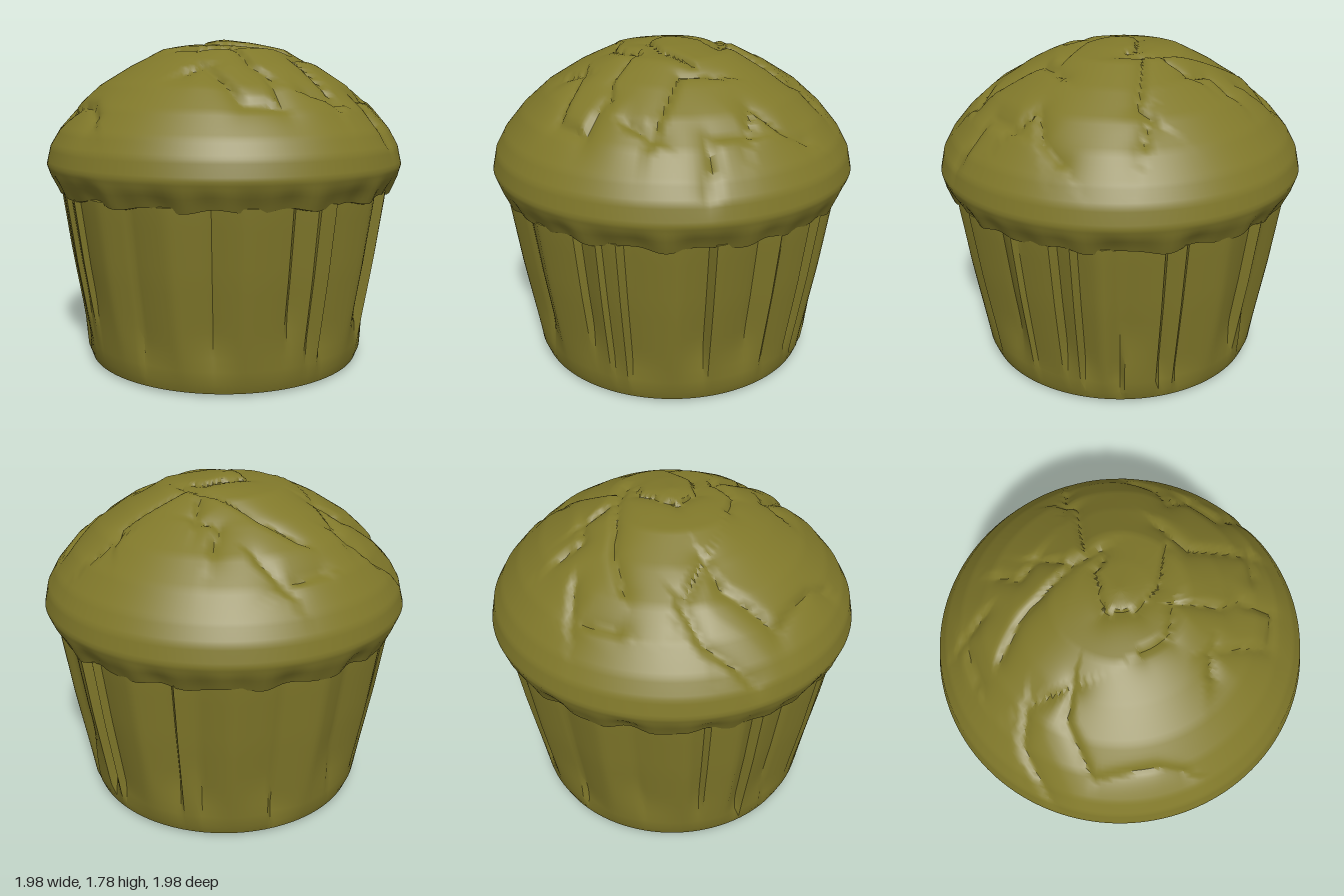
import * as THREE from 'three';
import { mergeVertices, toCreasedNormals } from 'three/addons/utils/BufferGeometryUtils.js';

const V2 = (a) => a.map(([x, y]) => new THREE.Vector2(x, y));

function seeded(seed) {
  return () => {
    seed = (seed * 16807) % 2147483647;
    return seed / 2147483647;
  };
}

// Splits each stretch of a profile into steps no longer than `step`
function refine(points, step) {
  const out = [points[0]];
  for (let i = 1; i < points.length; i++) {
    const n = Math.ceil(points[i].distanceTo(points[i - 1]) / step);
    for (let k = 1; k <= n; k++) out.push(points[i - 1].clone().lerp(points[i], k / n));
  }
  return out;
}

// Lathe whose surface is pushed inwards by depth(x, y, z)
function sculptedLathe(points, segments, depth, crease) {
  let geo = new THREE.LatheGeometry(points, segments);
  const p = geo.attributes.position;
  for (let i = 0; i < p.count; i++) {
    const x = p.getX(i), y = p.getY(i), z = p.getZ(i);
    const d = depth(x, y, z);
    const r = Math.hypot(x, z);
    const k = r > 0.1 ? 1 - d.radial / r : 1;
    p.setXYZ(i, x * k, y - d.down, z * k);
  }
  geo.deleteAttribute('normal');
  geo.deleteAttribute('uv');
  geo = mergeVertices(geo, 1e-4);
  return toCreasedNormals(geo, crease);
}

// Cracks in the crust, as paths seen from above [x, z]
const cracks = [
  [[-0.82, -0.53], [-0.56, -0.61], [-0.4, -0.55], [-0.38, -0.3], [-0.52, -0.37], [-0.79, -0.3], [-0.8, 0.02], [-0.84, 0.16]],
  [[-0.13, -0.63], [0.02, -0.5], [0.1, -0.37], [0.22, -0.2], [0.27, -0.04]],
  [[0.2, -0.04], [0.15, -0.1], [-0.1, -0.1], [-0.12, 0.07], [0, 0.2], [0.22, 0.28]],
  [[-0.2, -0.77], [0.05, -0.82], [0.13, -0.68]],
  [[-0.45, 0.35], [-0.34, 0.38], [-0.32, 0.7], [-0.14, 0.78], [-0.12, 0.6]],
  [[-0.31, 0.05], [-0.27, 0.18], [-0.1, 0.25], [-0.13, 0.5], [-0.08, 0.6]],
  [[0.3, -0.13], [0.62, -0.11], [0.65, -0.17], [0.78, -0.14]],
  [[0.31, -0.57], [0.23, -0.47], [0.32, -0.37], [0.25, -0.25]],
  [[0.38, 0.28], [0.2, 0.4], [0.2, 0.75], [0.05, 0.72]],
  [[0.82, 0.26], [0.72, 0.35], [0.56, 0.38], [0.6, 0.5], [0.45, 0.63], [0.52, 0.8]],
].map(V2);

// Depth falls off sharply on one side of a crack and slowly on the other
function crackDepth(x, z) {
  let best = 0;
  for (const path of cracks) {
    for (let i = 1; i < path.length; i++) {
      const a = path[i - 1], b = path[i];
      const dx = b.x - a.x, dz = b.y - a.y;
      const t = THREE.MathUtils.clamp(((x - a.x) * dx + (z - a.y) * dz) / (dx * dx + dz * dz), 0, 1);
      const d = Math.hypot(x - a.x - dx * t, z - a.y - dz * t);
      const side = dx * (z - a.y) - dz * (x - a.x);
      best = Math.max(best, 0.028 * Math.exp(-d / (side > 0 ? 0.05 : 0.015)));
    }
  }
  return best;
}

function createCrown(material) {
  const profile = refine(V2([
    [0.86, 0.96], [0.935, 0.97], [0.975, 1.06], [0.992, 1.12], [0.97, 1.22], [0.92, 1.31],
    [0.82, 1.43], [0.69, 1.545], [0.52, 1.65], [0.34, 1.74], [0.16, 1.775], [0, 1.795],
  ]), 0.025);
  const geo = sculptedLathe(profile, 180, (x, y, z) => {
    const a = Math.atan2(x, z);
    const crack = crackDepth(x, z) * THREE.MathUtils.smoothstep(y, 1.1, 1.3);
    // Ragged lower lip
    const lip = 1 - THREE.MathUtils.smoothstep(y, 0.97, 1.12);
    const rag = Math.sin(a * 13) + Math.sin(a * 29 + 1);
    return {
      radial: crack * 0.6 + lip * (0.012 + 0.008 * rag),
      down: crack + lip * 0.012 * Math.sin(a * 17 + 2),
    };
  }, 0.9);
  const mesh = new THREE.Mesh(geo, material);
  mesh.name = 'crown';
  return mesh;
}

function createCup(material) {
  const random = seeded(77);
  const segments = 216;
  // Uneven pleats: each is a slanted flat strip ending in a step
  const pleats = [];
  let total = 0;
  while (total < segments) {
    const width = Math.min(4 + Math.floor(random() * 7), segments - total);
    pleats.push({
      start: total, width, depth: 0.015 + random() * 0.04,
      flip: random() < 0.5, foot: 0.06 + random() * 0.3, lean: (random() - 0.5) * 3,
    });
    total += width;
  }
  const profile = refine(V2([
    [0, 0.01], [0.74, 0.015], [0.768, 0.025], [0.79, 0.08], [0.835, 0.35],
    [0.88, 0.62], [0.925, 0.94], [0.93, 0.985], [0.86, 1.0],
  ]), 0.07);
  const geo = sculptedLathe(profile, segments, (x, y, z) => {
    const turn = (Math.atan2(x, z) / (2 * Math.PI) + 1) % 1;
    const s = Math.round(turn * segments) % segments;
    const pleat = pleats.find((q) => s >= q.start && s < q.start + q.width);
    const t = (s - pleat.start) / Math.max(1, pleat.width - 1);
    const slope = THREE.MathUtils.clamp((pleat.flip ? 1 - t : t) + pleat.lean * 0.15 * (y - 0.5), 0, 1);
    const fade = THREE.MathUtils.smoothstep(y, pleat.foot * 0.3, pleat.foot + 0.15);
    return { radial: pleat.depth * slope * fade, down: 0 };
  }, 0.6);
  const mesh = new THREE.Mesh(geo, material);
  mesh.name = 'pleatedCup';
  return mesh;
}

export function createModel() {
  const group = new THREE.Group();
  group.name = 'muffin';
  const crust = new THREE.MeshStandardMaterial({ color: 0x80782a });
  crust.name = 'olive crust';
  group.add(createCup(crust), createCrown(crust));
  return group;
}
